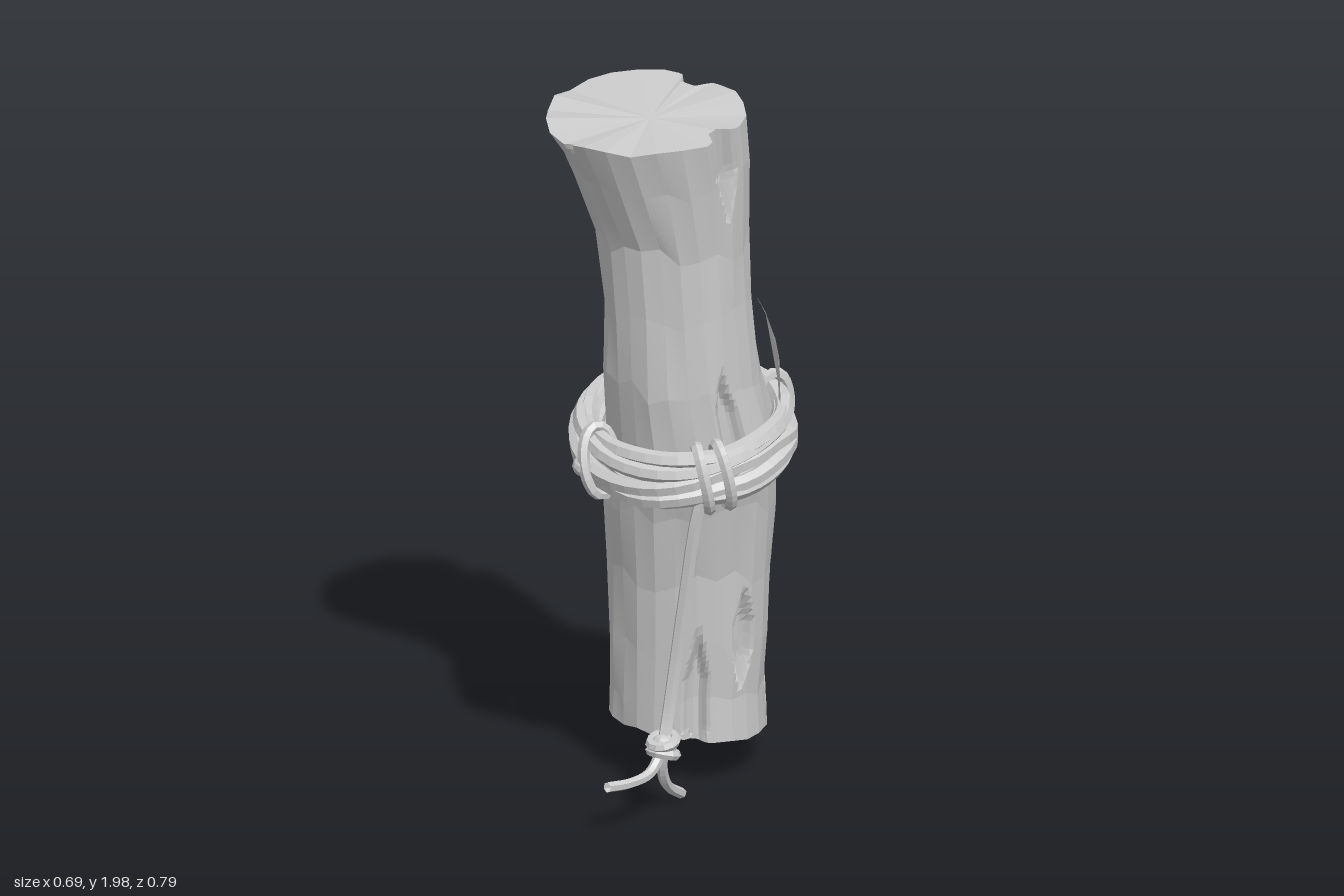
import * as THREE from 'three';

const V = (x, y, z) => new THREE.Vector3(x, y, z);
const mat = new THREE.MeshStandardMaterial({ color: 0xcccccc, flatShading: true, side: THREE.DoubleSide });
const noise = (i, j) => { const s = Math.sin(i * 127.1 + j * 311.7) * 43758.5453; return (s - Math.floor(s)) * 2 - 1; };

function add(parent, name, geometry) {
  const m = new THREE.Mesh(geometry, mat);
  m.name = name;
  parent.add(m);
  return m;
}

// Log cross-sections: y, centre x, centre z, radius x, radius z, bulge of the back right corner
const SECTIONS = [
  [0.13, 0.05, -0.16, 0.212, 0.212, 0.14], [0.25, 0.05, -0.152, 0.207, 0.203, 0.06], [0.4, 0.055, -0.14, 0.215, 0.204, 0],
  [0.6, 0.055, -0.125, 0.22, 0.21, 0], [0.8, 0.055, -0.095, 0.235, 0.222, 0], [1.0, 0.05, -0.035, 0.23, 0.235, 0],
  [1.2, 0.022, 0, 0.212, 0.21, -0.03], [1.4, 0.01, 0.017, 0.2, 0.198, -0.06], [1.6, -0.003, 0.02, 0.208, 0.206, -0.08],
  [1.8, -0.04, 0.035, 0.25, 0.236, -0.1], [1.955, -0.075, 0.04, 0.275, 0.272, -0.1],
];
// Bark cracks: angle, bottom, top, half width (radians), depth
const CRACKS = [
  [1.1, 0.9, 1.26, 0.17, 0.03], [0.8, 1.66, 2.15, 0.17, 0.045], [-0.88, 1.55, 2.3, 0.22, 0.05],
  [1.55, 0.0, 0.49, 0.17, 0.03], [0.89, 0.26, 0.58, 0.17, 0.035], [0.0, 0.12, 0.72, 0.17, 0.03],
  [-0.3, 1.1, 1.4, 0.14, 0.025], [-2.3, 0.22, 0.62, 0.14, 0.03], [-1.9, -0.05, 0.3, 0.15, 0.03],
  [-2.2, 1.0, 1.36, 0.14, 0.025], [2.55, 1.88, 2.1, 0.08, 0.03], [-0.45, 0.3, 0.75, 0.09, 0.015],
];
const SIDES = 24, SUB_A = 6, SUB_Y = 8;

// Corner of the coarse faceted trunk
function corner(i, j) {
  i %= SIDES;
  const [y, cx, cz, rx, rz, bulge] = SECTIONS[j];
  const a = i / SIDES * Math.PI * 2;
  const k = 1 + 0.022 * noise(i, j) + bulge * Math.max(0, Math.cos(a + 0.68)) ** 4;
  const end = j === 0 || j === SECTIONS.length - 1;
  const p = V(cx + rx * k * Math.cos(a), y + (end ? 0.008 : 0.035) * noise(i + 40, j), cz + rz * k * Math.sin(a));
  if (j === 0) p.y += 0.01 - 0.12 * (p.x - cx);
  if (j === SECTIONS.length - 1) p.y += 0.06 * (p.x - cx) - 0.09 * (p.z - cz);
  return p;
}

function logGeometry() {
  const cols = SIDES * SUB_A, rows = (SECTIONS.length - 1) * SUB_Y, pos = [], index = [];
  for (let r = 0; r <= rows; r++) {
    const j = Math.min(Math.floor(r / SUB_Y), SECTIONS.length - 2), v = r / SUB_Y - j;
    for (let c = 0; c < cols; c++) {
      const i = Math.floor(c / SUB_A), u = c / SUB_A - i;
      const p = corner(i, j).lerp(corner(i + 1, j), u).lerp(corner(i, j + 1).lerp(corner(i + 1, j + 1), u), v);
      const a = c / cols * Math.PI * 2;
      // Cut the cracks inward, with sloped walls and pointed ends
      for (const [ca, y0, y1, w, d] of CRACKS) {
        const t = (p.y - y0) / (y1 - y0);
        if (t <= 0 || t >= 1) continue;
        const b = a - ca, da = Math.atan2(Math.sin(b), Math.cos(b));
        const inside = w * Math.min(1, t / 0.35, (1 - t) / 0.35) - Math.abs(da);
        const depth = d * THREE.MathUtils.clamp(inside / 0.09, 0, 1);
        p.x -= depth * Math.cos(a);
        p.z -= depth * Math.sin(a);
      }
      pos.push(p.x, p.y, p.z);
    }
  }
  for (let r = 0; r < rows; r++) for (let c = 0; c < cols; c++) {
    const n = (c + 1) % cols, a = r * cols + c, b = r * cols + n;
    index.push(a, a + cols, b, b, a + cols, b + cols);
  }
  // Fan caps
  const low = pos.length / 3;
  pos.push(0.05, 0.15, -0.16, -0.07, 1.95, 0.075);
  for (let c = 0; c < cols; c++) {
    const n = (c + 1) % cols;
    index.push(low, c, n, low + 1, rows * cols + n, rows * cols + c);
  }
  const g = new THREE.BufferGeometry();
  g.setAttribute('position', new THREE.Float32BufferAttribute(pos, 3));
  g.setIndex(index);
  g.computeVertexNormals();
  return g;
}

const tube = (points, radius, closed, segments = 40) =>
  new THREE.TubeGeometry(new THREE.CatmullRomCurve3(points, closed), segments, radius, 6, closed);

// Point on the rope band; out and up are offsets from its middle
function band(a, out, up) {
  const x = 0.033 + (0.267 + out) * Math.cos(a), z = -0.043 + (0.283 + out) * Math.sin(a);
  return V(x, 1.003 + 0.07 * (x - 0.033) - 0.13 * (z + 0.043) + up, z);
}

// Vertical loop tied round the band
function loop(parent, name, a, lean = 0) {
  const pts = [];
  for (let k = 0; k < 12; k++) {
    const t = k / 12 * Math.PI * 2;
    pts.push(band(a + lean * Math.sin(t), 0.047 * Math.cos(t), 0.09 * Math.sin(t)));
  }
  add(parent, name, tube(pts, 0.017, true, 24));
}

function knot(parent, name, p, r) {
  const g = new THREE.Group();
  g.name = name;
  g.position.copy(p);
  add(g, name + 'Core', new THREE.IcosahedronGeometry(r, 1));
  for (const s of [-1, 1]) {
    const wrap = add(g, name + 'Wrap', new THREE.TorusGeometry(r * 0.95, r * 0.4, 6, 12));
    wrap.rotation.set(Math.PI / 2 + s * 0.2, s * 0.2, 0);
    wrap.position.y = s * r * 0.45;
  }
  parent.add(g);
}

export function createModel() {
  const model = new THREE.Group();
  add(model, 'log', logGeometry());

  // Rope wound around the log
  const rope = new THREE.Group();
  rope.name = 'rope';
  model.add(rope);
  const STRANDS = 8;
  for (let s = 0; s < STRANDS; s++) {
    const pts = [];
    for (let k = 0; k < 20; k++) {
      const a = k / 20 * Math.PI * 2, t = s / STRANDS * Math.PI * 2 + 0.4 * Math.sin(a * 2 + s);
      // The band is looser toward the back left
      const out = 0.02 + 0.01 * Math.max(0, Math.cos(a + 2.3));
      pts.push(band(a, out * Math.cos(t) + 0.005 * noise(s, k), 0.058 * Math.sin(t) + 0.006 * noise(k, s)));
    }
    add(rope, 'ropeStrand', tube(pts, 0.024, true, 40));
  }

  // Ties around the band
  loop(rope, 'frontTie', 1.48, 0.06);
  loop(rope, 'frontTie', 1.27, 0.06);
  loop(rope, 'sideTie', -0.35);
  loop(rope, 'backTie', -1.46, 0.05);
  loop(rope, 'farSideTie', 2.7, 0.08);
  for (const [a, up] of [[-1.46, 0.03], [2.75, -0.01]]) {
    add(rope, 'tieKnot', new THREE.IcosahedronGeometry(0.03, 1)).position.copy(band(a, 0.042, up));
  }

  // Hanging cord with its knot and two loose ends
  const end = V(-0.05, 0.2, 0.24);
  add(rope, 'hangingCord', tube([V(0.06, 0.93, 0.24), V(0.04, 0.85, 0.235), V(0.01, 0.62, 0.215),
    V(-0.015, 0.42, 0.205), V(-0.035, 0.28, 0.215), end], 0.018, false));
  knot(rope, 'cordKnot', end, 0.037);
  add(rope, 'cordEnd', tube([end, V(-0.09, 0.145, 0.29), V(-0.15, 0.135, 0.34), V(-0.215, 0.142, 0.385)], 0.015, false, 14));
  add(rope, 'cordEnd', tube([end, V(-0.05, 0.12, 0.215), V(-0.03, 0.06, 0.17), V(0.012, 0.015, 0.108)], 0.015, false, 14));

  // Curved leaf tucked in above the rope, drawn in the side plane
  const outline = [[-0.08, 1.24], [-0.055, 1.23], [-0.025, 1.225], [0.0, 1.225], [0.01, 1.27], [0.04, 1.325], [0.095, 1.37],
    [0.115, 1.31], [0.138, 1.22], [0.125, 1.18], [0.09, 1.15], [0.05, 1.13], [0.03, 1.08], [0.0, 1.08], [-0.01, 1.135],
    [-0.045, 1.15], [-0.07, 1.19]];
  const leaf = new THREE.ShapeGeometry(new THREE.Shape(outline.map(([u, y]) => new THREE.Vector2(u, y))));
  const lp = leaf.attributes.position;
  for (let i = 0; i < lp.count; i++) {
    const u = lp.getX(i), y = lp.getY(i);
    lp.setXYZ(i, 0.288 - 1.7 * Math.max(0, y - 1.19) ** 2 - 0.6 * (u - 0.03) ** 2, y, -u);
  }
  leaf.computeVertexNormals();
  add(model, 'leaf', leaf);
  return model;
}
